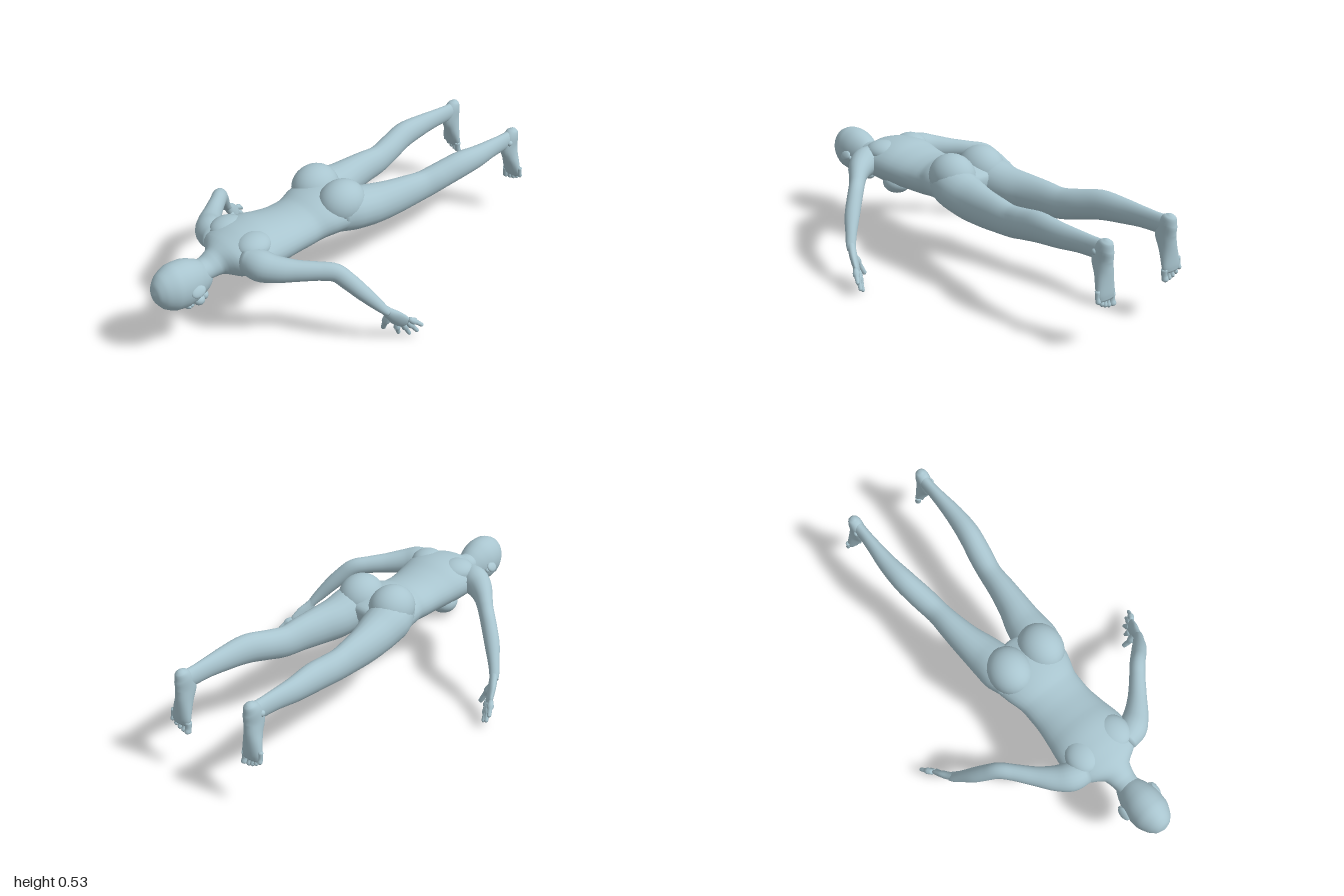
import * as THREE from 'three';

const skin = new THREE.MeshStandardMaterial({ color: 0xa9c5cf });
skin.name = 'pale blue skin';

// Smooth skin through elliptical stations [x, y, z, halfWidth, halfHeight]
function loft(name, stations, up = [0, 1, 0], sides = 20, steps = 4) {
  const path = new THREE.CatmullRomCurve3(stations.map(s => new THREE.Vector3(s[0], s[1], s[2])));
  const size = new THREE.CatmullRomCurve3(stations.map(s => new THREE.Vector3(s[3], s[4], 0)));
  const rows = (stations.length - 1) * steps, pos = [], idx = [];
  const ref = new THREE.Vector3(...up);
  for (let i = 0; i <= rows; i++) {
    const p = path.getPoint(i / rows), r = size.getPoint(i / rows), t = path.getTangent(i / rows);
    const side = ref.clone().cross(t).normalize(), top = t.clone().cross(side);
    for (let j = 0; j < sides; j++) {
      const a = (j / sides) * Math.PI * 2;
      const v = p.clone().addScaledVector(side, Math.max(r.x, 0.001) * Math.cos(a))
        .addScaledVector(top, Math.max(r.y, 0.001) * Math.sin(a));
      pos.push(v.x, v.y, v.z);
      if (i < rows) {
        const k = (j + 1) % sides, A = i * sides + j, B = i * sides + k;
        idx.push(A, B, B + sides, A, B + sides, A + sides);
      }
    }
  }
  // closed ends
  const first = pos.length / 3, last = first + 1, end = rows * sides;
  pos.push(...path.getPoint(0).toArray(), ...path.getPoint(1).toArray());
  for (let j = 0; j < sides; j++) {
    const k = (j + 1) % sides;
    idx.push(first, k, j, last, end + j, end + k);
  }
  const g = new THREE.BufferGeometry();
  g.setAttribute('position', new THREE.Float32BufferAttribute(pos, 3));
  g.setIndex(idx);
  g.computeVertexNormals();
  const m = new THREE.Mesh(g, skin);
  m.name = name;
  return m;
}

function blob(name, p, r, rot = [0, 0, 0]) {
  const m = new THREE.Mesh(new THREE.SphereGeometry(1, 24, 16), skin);
  m.position.set(...p);
  m.scale.set(...r);
  m.rotation.set(...rot);
  m.name = name;
  return m;
}

export function createModel() {
  const body = new THREE.Group();
  body.name = 'proneFigure';

  // Neck, shoulders, back, waist and hips
  body.add(loft('torso', [
    [0, 0.355, 0.8, 0.05, 0.05], [0, 0.358, 0.73, 0.054, 0.05], [0, 0.368, 0.68, 0.068, 0.06],
    [0, 0.376, 0.63, 0.145, 0.083], [0, 0.38, 0.56, 0.178, 0.1], [0, 0.378, 0.48, 0.172, 0.107],
    [0, 0.37, 0.4, 0.158, 0.1], [0, 0.365, 0.3, 0.146, 0.093], [0, 0.37, 0.22, 0.147, 0.092],
    [0, 0.385, 0.14, 0.17, 0.098], [0, 0.39, 0.06, 0.185, 0.097], [0, 0.385, 0, 0.17, 0.085],
    [0, 0.375, -0.045, 0.1, 0.07], [0, 0.37, -0.06, 0.03, 0.03]], [0, 1, 0], 32));

  // Skull and face, crown forward and face downward
  body.add(loft('head', [
    [0, 0.345, 0.998, 0.004, 0.004], [0, 0.345, 0.988, 0.036, 0.044], [0, 0.345, 0.96, 0.063, 0.08],
    [0, 0.343, 0.91, 0.085, 0.105], [0, 0.339, 0.86, 0.087, 0.109], [0, 0.327, 0.81, 0.078, 0.1],
    [0, 0.31, 0.77, 0.062, 0.084], [0, 0.29, 0.745, 0.043, 0.06], [0, 0.28, 0.735, 0.012, 0.02]],
    [0, 1, 0], 28));
  body.add(blob('chin', [0, 0.24, 0.757], [0.032, 0.026, 0.022]));
  body.add(blob('noseBridge', [0, 0.229, 0.84], [0.012, 0.013, 0.033], [0.25, 0, 0]));
  body.add(blob('noseTip', [0, 0.216, 0.816], [0.017, 0.014, 0.013]));
  body.add(blob('upperLip', [0, 0.223, 0.793], [0.026, 0.012, 0.007]));
  body.add(blob('lowerLip', [0, 0.224, 0.78], [0.022, 0.012, 0.007]));

  for (const s of [1, -1]) {
    const side = new THREE.Group();
    side.name = s > 0 ? 'leftSide' : 'rightSide';
    body.add(side);
    const limb = (name, st, up = [0, 1, 0], n = 20) =>
      side.add(loft(name, st.map(([x, ...r]) => [x * s, ...r]), [up[0] * s, up[1], up[2]], n));
    const lump = (name, [x, y, z], r, rot = [0, 0, 0]) =>
      side.add(blob(name, [x * s, y, z], r, [rot[0], rot[1] * s, rot[2] * s]));

    // Face and chest details
    lump('ear', [0.09, 0.335, 0.835], [0.011, 0.024, 0.034], [0.2, 0, 0.5]);
    lump('earLobe', [0.084, 0.325, 0.808], [0.009, 0.012, 0.013]);
    lump('brow', [0.034, 0.241, 0.861], [0.028, 0.01, 0.009], [0, 0.1, 0.25]);
    lump('eye', [0.034, 0.243, 0.842], [0.017, 0.012, 0.01]);
    lump('cheek', [0.045, 0.257, 0.807], [0.026, 0.024, 0.026]);
    lump('nostril', [0.013, 0.226, 0.814], [0.009, 0.01, 0.009]);
    lump('breast', [0.08, 0.3, 0.45], [0.066, 0.052, 0.068]);
    lump('shoulderBlade', [0.085, 0.43, 0.54], [0.075, 0.053, 0.085], [0, 0.3, 0]);
    lump('buttock', [0.088, 0.436, 0.045], [0.1, 0.104, 0.115], [0, 0, -0.15]);

    // Arm from shoulder to wrist
    limb('arm', [
      [0.1, 0.39, 0.6, 0.05, 0.06], [0.17, 0.386, 0.575, 0.066, 0.07], [0.225, 0.38, 0.54, 0.056, 0.06],
      [0.29, 0.375, 0.475, 0.042, 0.048], [0.35, 0.372, 0.405, 0.036, 0.042],
      [0.395, 0.364, 0.355, 0.035, 0.041], [0.435, 0.325, 0.32, 0.035, 0.039],
      [0.475, 0.278, 0.285, 0.034, 0.035], [0.515, 0.222, 0.243, 0.026, 0.028],
      [0.542, 0.182, 0.212, 0.022, 0.02], [0.55, 0.165, 0.198, 0.02, 0.016]]);

    // Palm, fingers and thumb
    const palmUp = [0.76, -0.23, 0.58];
    limb('palm', [
      [0.538, 0.19, 0.217, 0.018, 0.018], [0.549, 0.163, 0.195, 0.025, 0.018],
      [0.562, 0.13, 0.165, 0.036, 0.017], [0.574, 0.1, 0.135, 0.036, 0.014],
      [0.581, 0.085, 0.12, 0.026, 0.01]], palmUp);
    const fingers = [
      [[0.555, 0.085, 0.148], [0.553, 0.05, 0.14], [0.55, 0.022, 0.13]],
      [[0.57, 0.088, 0.13], [0.574, 0.045, 0.108], [0.577, 0.012, 0.09]],
      [[0.584, 0.096, 0.117], [0.596, 0.06, 0.09], [0.605, 0.032, 0.07]],
      [[0.595, 0.112, 0.115], [0.612, 0.09, 0.085], [0.624, 0.07, 0.062]],
      [[0.548, 0.145, 0.19], [0.522, 0.09, 0.185], [0.501, 0.046, 0.175]]];
    fingers.forEach(([a, b, c], i) => {
      const r = i === 4 ? 0.013 : 0.0105;
      const tip = c.map((v, k) => v + (c[k] - b[k]) * 0.16);
      limb(i === 4 ? 'thumb' : 'finger', [[...a, r, r], [...b, r, r], [...c, r * 0.8, r * 0.8],
        [...tip, 0.002, 0.002]], palmUp, 10);
    });

    // Thigh, knee, calf and ankle
    limb('leg', [
      [0.1, 0.4, 0.1, 0.075, 0.085], [0.106, 0.393, 0, 0.1, 0.097], [0.116, 0.375, -0.1, 0.09, 0.094],
      [0.133, 0.37, -0.2, 0.073, 0.088], [0.145, 0.37, -0.3, 0.061, 0.08],
      [0.153, 0.37, -0.4, 0.053, 0.071], [0.168, 0.388, -0.49, 0.055, 0.067],
      [0.187, 0.411, -0.6, 0.052, 0.066], [0.195, 0.416, -0.72, 0.042, 0.056],
      [0.193, 0.42, -0.82, 0.032, 0.047], [0.191, 0.42, -0.9, 0.027, 0.044],
      [0.191, 0.422, -0.96, 0.028, 0.043]]);

    // Foot hanging down, sole facing back
    limb('foot', [
      [0.193, 0.474, -0.97, 0.008, 0.01], [0.193, 0.462, -0.967, 0.025, 0.027],
      [0.193, 0.43, -0.955, 0.032, 0.045], [0.193, 0.385, -0.947, 0.032, 0.051],
      [0.195, 0.34, -0.957, 0.036, 0.042], [0.199, 0.29, -0.968, 0.045, 0.031],
      [0.201, 0.25, -0.976, 0.05, 0.023], [0.201, 0.225, -0.98, 0.044, 0.016]], [0, 0, 1]);
    lump('ankleBone', [0.216, 0.415, -0.925], [0.012, 0.014, 0.014]);
    for (let i = 0; i < 5; i++) {
      const x = 0.163 + i * 0.0205 + (i ? 0.004 : 0), y = 0.186 + i * i * 0.002, r = i ? 0.0105 : 0.015;
      limb('toe', [[x, y + 0.055, -0.976, r, r], [x, y + 0.025, -0.978, r * 0.9, r * 0.9],
        [x, y + 0.009, -0.983, r, r], [x, y, -0.984, 0.003, 0.003]], [0, 0, 1], 10);
    }
  }
  return body;
}
